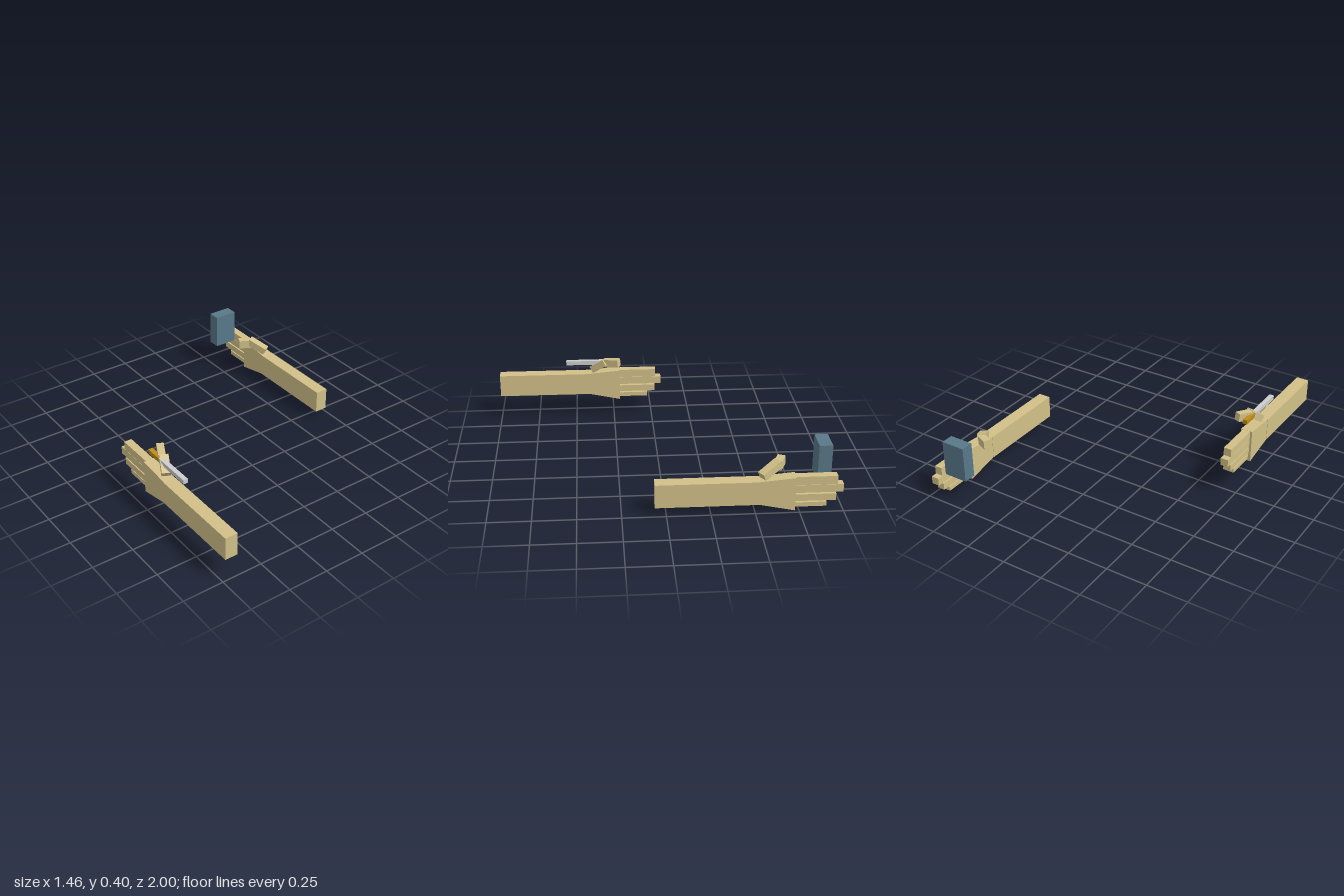
import * as THREE from 'three';

const skin = new THREE.MeshStandardMaterial({ color: 0xd2c088, name: 'skin' });
const slate = new THREE.MeshStandardMaterial({ color: 0x587888, name: 'slate blue' });
const steel = new THREE.MeshStandardMaterial({ color: 0xcccccc, name: 'steel' });
const gold = new THREE.MeshStandardMaterial({ color: 0xbb8c18, name: 'gold' });

// Box given by its extents on each axis
function block(name, material, [x0, x1], [y0, y1], [z0, z1]) {
  const mesh = new THREE.Mesh(new THREE.BoxGeometry(x1 - x0, y1 - y0, z1 - z0), material);
  mesh.position.set((x0 + x1) / 2, (y0 + y1) / 2, (z0 + z1) / 2);
  mesh.name = name;
  return mesh;
}

// Box running from one point to another
function bone(name, from, to, width, thickness) {
  const a = new THREE.Vector3(...from), b = new THREE.Vector3(...to);
  const mesh = new THREE.Mesh(new THREE.BoxGeometry(width, thickness, a.distanceTo(b)), skin);
  mesh.position.copy(a).lerp(b, 0.5);
  mesh.lookAt(b);
  mesh.name = name;
  return mesh;
}

// Forearm, flared palm and four straight fingers, pointing to -z
function arm(name) {
  const group = new THREE.Group();
  group.name = name;
  group.add(block('forearm', skin, [-0.039, 0.039], [0.044, 0.187], [-0.52, 0.064]));

  // Palm: a box whose finger end is taller than its wrist end
  const palm = block('palm', skin, [-0.037, 0.037], [0.044, 0.187], [-0.728, -0.52]);
  const pos = palm.geometry.attributes.position;
  for (let i = 0; i < pos.count; i++) {
    if (pos.getZ(i) < 0) pos.setY(i, pos.getY(i) > 0 ? 0.0905 : -0.1155);
  }
  palm.geometry = palm.geometry.toNonIndexed();
  palm.geometry.computeVertexNormals();
  group.add(palm);

  const fingers = [
    ['indexFinger', 0.154, 0.205, -0.965, 0.024],
    ['middleFinger', 0.104, 0.152, -1.0, 0.024],
    ['ringFinger', 0.052, 0.094, -0.96, 0.024],
    ['littleFinger', 0.014, 0.041, -0.91, 0.02],
  ];
  for (const [label, y0, y1, tip, half] of fingers) {
    group.add(block(label, skin, [-half, half], [y0, y1], [tip, -0.72]));
  }
  return group;
}

export function createModel() {
  const model = new THREE.Group();

  const leftArm = arm('leftArm');
  leftArm.position.x = 0.691;
  const rightArm = arm('rightArm');
  rightArm.position.set(-0.695, 0.101, 0.936);
  model.add(leftArm, rightArm);

  // Thumbs, two joints each
  model.add(
    bone('leftThumbBase', [0.695, 0.205, -0.537], [0.632, 0.257, -0.64], 0.052, 0.045),
    bone('leftThumbTip', [0.638, 0.241, -0.633], [0.564, 0.243, -0.668], 0.045, 0.056),
    bone('rightThumbBase', [-0.696, 0.31, 0.385], [-0.657, 0.372, 0.3], 0.052, 0.045),
    bone('rightThumbTip', [-0.67, 0.362, 0.305], [-0.626, 0.375, 0.214], 0.042, 0.05),
  );

  // Upright box held beside the left fingers
  model.add(block('heldBox', slate, [0.516, 0.665], [0.15, 0.37], [-0.935, -0.858]));

  // Thin rod with a gold grip under the right thumb
  model.add(block('rod', steel, [-0.697, -0.669], [0.349, 0.376], [0.31, 0.56]));
  model.add(block('grip', gold, [-0.697, -0.669], [0.349, 0.376], [0.203, 0.31]));
  return model;
}
